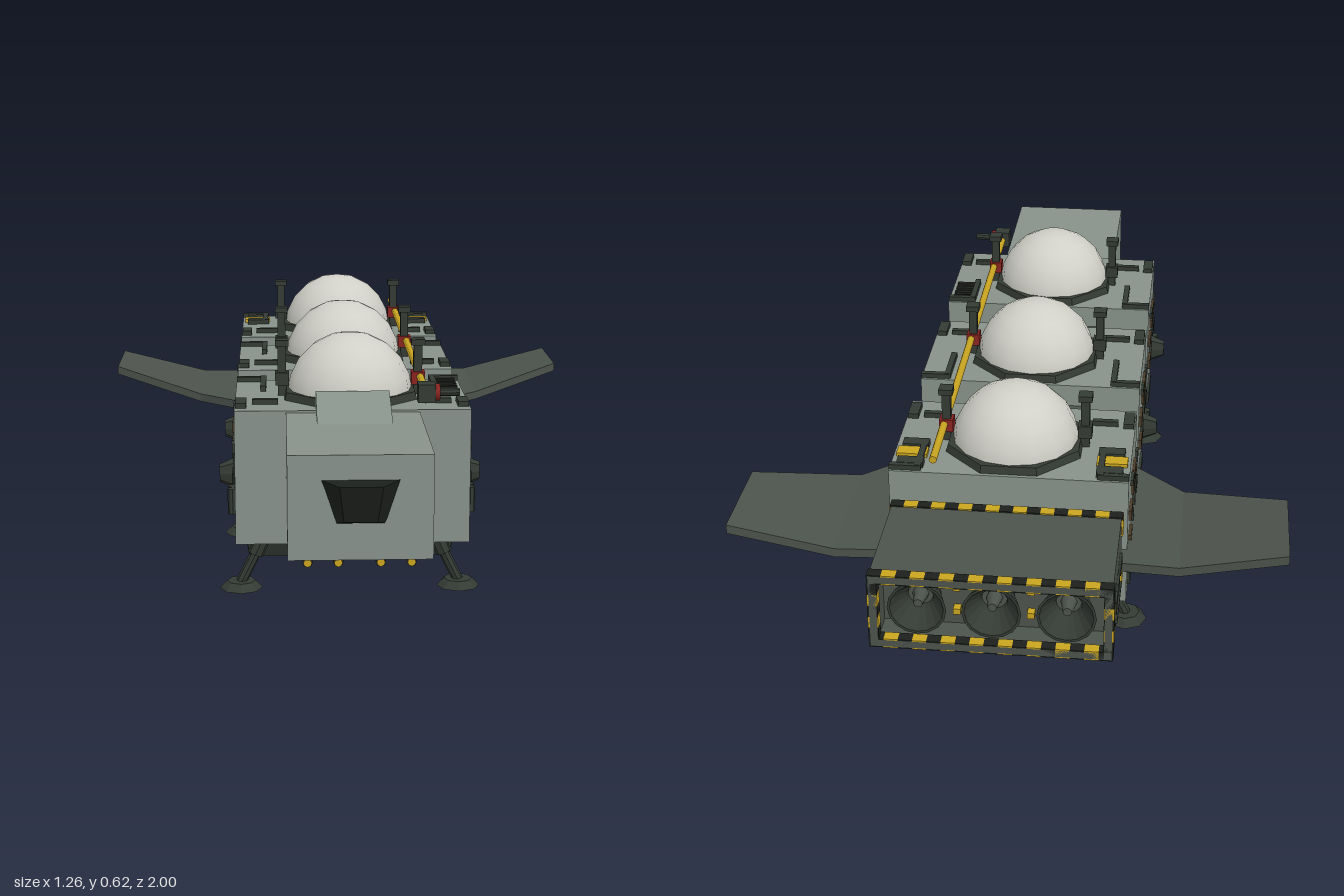
import * as THREE from 'three';

const mat = (color) => new THREE.MeshStandardMaterial({ color, side: THREE.DoubleSide });
const flat = (color) => new THREE.MeshStandardMaterial({ color, side: THREE.DoubleSide, flatShading: true });
const HULL = mat(0x87928a), DARK = mat(0x4c524c), TRIM = flat(0x343a34), BLACK = mat(0x1c201c);
const YELLOW = mat(0xc9a520), RED = mat(0x8a2420), BROWN = mat(0x4a3b28), GLASS = mat(0xd0d0c8);

function add(parent, name, geo, material, x = 0, y = 0, z = 0) {
  const m = new THREE.Mesh(geo, material);
  m.name = name;
  m.position.set(x, y, z);
  parent.add(m);
  return m;
}
const box = (p, name, material, w, h, d, x, y, z) =>
  add(p, name, new THREE.BoxGeometry(w, h, d), material, x, y, z);

// Cylinder running between two points
function rod(p, name, material, a, b, r0, r1 = r0, sides = 8) {
  const A = new THREE.Vector3(...a), B = new THREE.Vector3(...b), dir = B.clone().sub(A);
  const m = add(p, name, new THREE.CylinderGeometry(r1, r0, dir.length(), sides), material);
  m.position.copy(A).add(B).multiplyScalar(0.5);
  m.quaternion.setFromUnitVectors(new THREE.Vector3(0, 1, 0), dir.normalize());
  return m;
}

// Faceted solid through four-cornered sections, wound so that it faces outwards
function loft(sections) {
  const pts = sections.flat().map((c) => new THREE.Vector3(...c)), tris = [];
  const quad = (a, b, c, d) => tris.push([a, b, c], [a, c, d]);
  const last = (sections.length - 1) * 4;
  for (let s = 0; s < last; s += 4) {
    for (let i = 0; i < 4; i++) {
      const j = (i + 1) % 4;
      quad(s + i, s + j, s + 4 + j, s + 4 + i);
    }
  }
  quad(3, 2, 1, 0);
  quad(last, last + 1, last + 2, last + 3);
  const mid = pts.reduce((sum, v) => sum.add(v), new THREE.Vector3()).divideScalar(pts.length);
  let volume = 0;
  for (const t of tris) {
    const [a, b, c] = t.map((i) => pts[i].clone().sub(mid));
    volume += a.dot(b.cross(c));
  }
  if (volume < 0) tris.forEach((t) => t.reverse());
  const geo = new THREE.BufferGeometry().setFromPoints(tris.flat().map((i) => pts[i]));
  geo.computeVertexNormals();
  return geo;
}

// Wall patches: [z, y, depth, height, material], relative to the module centre
const PATCHES = [
  [0.01, 0.405, 0.06, 0.025, BROWN], [-0.03, 0.385, 0.05, 0.022, BROWN], [-0.115, 0.37, 0.055, 0.025, BROWN],
  [0.05, 0.375, 0.04, 0.02, BROWN], [0.105, 0.305, 0.06, 0.025, BLACK], [-0.11, 0.30, 0.05, 0.025, BROWN],
  [-0.04, 0.30, 0.02, 0.05, TRIM], [0.03, 0.315, 0.02, 0.035, TRIM], [-0.08, 0.43, 0.04, 0.015, TRIM],
  [-0.08, 0.20, 0.12, 0.032, TRIM], [0.12, 0.38, 0.02, 0.03, TRIM],
];

function leg(g, s) {
  const p = new THREE.Group();
  p.name = 'landingLeg';
  g.add(p);
  rod(p, 'upperStrut', TRIM, [s * 0.185, 0.18, 0], [s * 0.228, 0.085, 0], 0.02);
  rod(p, 'lowerStrut', TRIM, [s * 0.215, 0.11, 0], [s * 0.262, 0.015, 0], 0.013);
  rod(p, 'braceStrut', TRIM, [s * 0.25, 0.16, 0], [s * 0.232, 0.08, 0], 0.009);
  rod(p, 'foot', TRIM, [s * 0.262, 0, 0], [s * 0.262, 0.018, 0], 0.052, 0.034);
  box(p, 'hatchFrame', YELLOW, 0.105, 0.008, 0.12, s * 0.2, 0.157, 0);
  box(p, 'hatchOpening', BLACK, 0.09, 0.008, 0.105, s * 0.2, 0.155, 0);
  const door = box(p, 'hatchDoor', TRIM, 0.095, 0.12, 0.005, s * 0.198, 0.1, -0.08);
  door.rotation.x = Math.atan2(0.05, 0.11);
}

function pod(root, z, index) {
  const g = new THREE.Group();
  g.name = 'cargoModule' + (index + 1);
  g.position.z = z;
  root.add(g);
  box(g, 'moduleBody', HULL, 0.54, 0.315, 0.336, 0, 0.3175, 0);

  // Dome and its eight-sided collar
  const ring = add(g, 'domeCollar', new THREE.CylinderGeometry(0.162, 0.168, 0.022, 8), TRIM, 0, 0.482, -0.005);
  ring.rotation.y = Math.PI / 8;
  add(g, 'dome', new THREE.SphereGeometry(0.148, 16, 5, 0, Math.PI * 2, 0, Math.PI / 2), GLASS, 0, 0.476, -0.005);

  for (const s of [1, -1]) {
    leg(g, s);
    // Roof posts
    box(g, 'roofPost', TRIM, 0.02, 0.12, 0.02, s * 0.16, 0.535, -0.005);
    box(g, 'postCap', TRIM, 0.032, 0.014, 0.032, s * 0.16, 0.6, -0.005);
    box(g, 'postClamp', s > 0 ? RED : TRIM, 0.032, 0.03, 0.032, s * 0.16, 0.515, -0.005);
    // Roof fittings
    box(g, 'roofRail', TRIM, 0.014, 0.016, 0.12, s * 0.205, 0.48, -0.1);
    box(g, 'roofPipe', TRIM, 0.07, 0.014, 0.014, s * 0.235, 0.48, -0.155);
    box(g, 'roofBar', TRIM, 0.06, 0.014, 0.014, s * 0.2, 0.48, 0.095);
    box(g, 'edgePlate', TRIM, 0.025, 0.016, 0.06, s * 0.255, 0.479, 0.11);
    if (index === 2) {
      box(g, 'roofMarker', YELLOW, 0.07, 0.012, 0.035, s * 0.228, 0.478, -0.085);
      for (const dz of [-0.135, -0.05]) box(g, 'roofVent', TRIM, 0.06, 0.018, 0.03, s * 0.225, 0.479, dz);
    } else if (s > 0 && index === 0) {
      for (let i = 0; i < 4; i++) box(g, 'roofVent', BLACK, 0.05, 0.01, 0.014, 0.235, 0.477, -0.14 + i * 0.028);
    }
    // Wall fittings
    for (const [dz, y, d, h, m] of PATCHES) {
      box(g, 'wallPanel', m, 0.012, h, d, s * 0.271, y, dz + (index - 1) * 0.008);
    }
    for (const dz of [0.075, 0.1]) {
      rod(g, 'wallTank', TRIM, [s * 0.277, 0.215, dz], [s * 0.277, 0.275, dz], 0.012);
    }
    if (index < 2) {
      const lamp = rod(g, 'sideThruster', TRIM, [s * 0.265, 0.285, -0.005], [s * 0.31, 0.285, -0.005], 0.042, 0.022);
      lamp.scale.z = 0.5;
    }
  }
}

function wing(root, s) {
  const section = (x, y, z0, z1) =>
    [[s * x, y, z0], [s * x, y, z1], [s * x, y + 0.022, z1], [s * x, y + 0.022, z0]];
  add(root, 'wing', loft([
    section(0.25, 0.279, -0.28, -0.73), section(0.39, 0.279, -0.405, -0.738), section(0.63, 0.337, -0.515, -0.755),
  ]), DARK);
  box(root, 'wingTipLight', TRIM, 0.02, 0.014, 0.1, s * 0.605, 0.329, -0.63);
}

// Alternating warning stripes along x or y
function stripes(g, axis, length, count, w, h, d, x, y, z) {
  const step = length / count;
  for (let i = 0; i < count; i++) {
    const o = -length / 2 + (i + 0.5) * step, m = i % 2 ? YELLOW : BLACK;
    if (axis === 'x') box(g, 'warningStripe', m, step, h, d, x + o, y, z);
    else box(g, 'warningStripe', m, w, step, d, x, y + o, z);
  }
}

function engine(root) {
  const g = new THREE.Group();
  g.name = 'engineBlock';
  root.add(g);
  box(g, 'engineJoint', DARK, 0.42, 0.15, 0.04, 0, 0.32, -0.68);
  box(g, 'engineBody', DARK, 0.516, 0.176, 0.23, 0, 0.32, -0.805);
  // Open rear frame
  for (const s of [1, -1]) {
    box(g, 'frameSide', DARK, 0.016, 0.176, 0.08, s * 0.25, 0.32, -0.96);
    box(g, 'framePlate', DARK, 0.516, 0.016, 0.08, 0, 0.32 + s * 0.08, -0.96);
    stripes(g, 'x', 0.522, 17, 0, 0.022, 0.026, 0, 0.32 + s * 0.08, -0.987);
    stripes(g, 'x', 0.522, 17, 0, 0.006, 0.026, 0, 0.32 + s * 0.088, -0.704);
    stripes(g, 'y', 0.14, 5, 0.022, 0, 0.026, s * 0.251, 0.32, -0.987);
    box(g, 'cornerMark', YELLOW, 0.006, 0.045, 0.024, s * 0.259, 0.385, -0.704);
    box(g, 'cornerMark', YELLOW, 0.006, 0.03, 0.024, s * 0.259, 0.248, -0.704);
    for (const z of [-0.78, -0.86, -0.93]) box(g, 'sidePanel', TRIM, 0.01, 0.03, 0.045, s * 0.259, 0.33, z);
    box(g, 'sideBar', TRIM, 0.01, 0.01, 0.15, s * 0.259, 0.272, -0.84);
    for (const y of [0.35, 0.29]) box(g, 'nozzleMarker', YELLOW, 0.016, 0.014, 0.02, s * 0.08, y, -0.93);
  }
  // Three bell nozzles
  const bell = [[0, -0.02], [0.025, -0.02], [0.03, 0.01], [0.058, 0.055], [0.064, 0.055], [0.045, 0], [0.045, -0.03]];
  const geo = new THREE.LatheGeometry(bell.map((p) => new THREE.Vector2(...p)), 16);
  for (const x of [-0.16, 0, 0.16]) {
    add(g, 'nozzle', geo, TRIM, x, 0.32, -0.925).rotation.x = -Math.PI / 2;
    rod(g, 'nozzleCore', DARK, [x, 0.32, -0.92], [x, 0.32, -0.96], 0.018, 0.01);
  }
}

function nose(root) {
  const g = new THREE.Group();
  g.name = 'cockpit';
  root.add(g);
  box(g, 'noseBody', HULL, 0.305, 0.226, 0.4, 0, 0.357, 0.76);
  const rect = (w, y0, y1, z) => [[-w, y0, z], [w, y0, z], [w, y1, z], [-w, y1, z]];
  add(g, 'noseFairing', loft([rect(0.084, 0.45, 0.515, 0.55), rect(0.084, 0.45, 0.468, 0.695)]), HULL);
  // Window jutting forward at its top
  add(g, 'windscreen', loft([
    [[-0.055, 0.322, 0.955], [0.055, 0.322, 0.955], [0.086, 0.417, 0.955], [-0.086, 0.417, 0.955]],
    [[-0.035, 0.33, 0.975], [0.035, 0.33, 0.975], [0.045, 0.412, 1], [-0.045, 0.412, 1]],
  ]), BLACK);
  // Belly guns
  for (const x of [-0.11, -0.045, 0.045, 0.11]) {
    rod(g, 'bellyTube', TRIM, [x, 0.225, 0.785], [x, 0.225, 0.915], 0.011);
    rod(g, 'bellyTubeTip', YELLOW, [x, 0.225, 0.91], [x, 0.225, 0.92], 0.009);
    box(g, 'bellyMount', TRIM, 0.014, 0.025, 0.05, x, 0.237, 0.85);
  }
}

export function createModel() {
  const root = new THREE.Group();
  root.name = 'cargoShip';
  [0.405, -0.052, -0.505].forEach((z, i) => pod(root, z, i));
  // Links between modules
  for (const z of [0.178, -0.28]) {
    box(root, 'linkTunnel', DARK, 0.262, 0.2, 0.14, 0, 0.32, z);
    for (const s of [1, -1]) {
      for (const y of [0.26, 0.39]) box(root, 'linkFitting', TRIM, 0.016, 0.025, 0.02, s * 0.136, y, z);
    }
  }
  nose(root);
  engine(root);
  for (const s of [1, -1]) wing(root, s);
  // Roof pipe with its front valve
  rod(root, 'roofPipeline', YELLOW, [0.165, 0.518, 0.6], [0.165, 0.518, -0.69], 0.009);
  box(root, 'valveBox', TRIM, 0.04, 0.042, 0.04, 0.165, 0.52, 0.592);
  rod(root, 'valveCollar', RED, [0.18, 0.52, 0.592], [0.195, 0.52, 0.592], 0.02);
  rod(root, 'valveHandle', TRIM, [0.19, 0.52, 0.592], [0.24, 0.52, 0.592], 0.009);
  return root;
}
